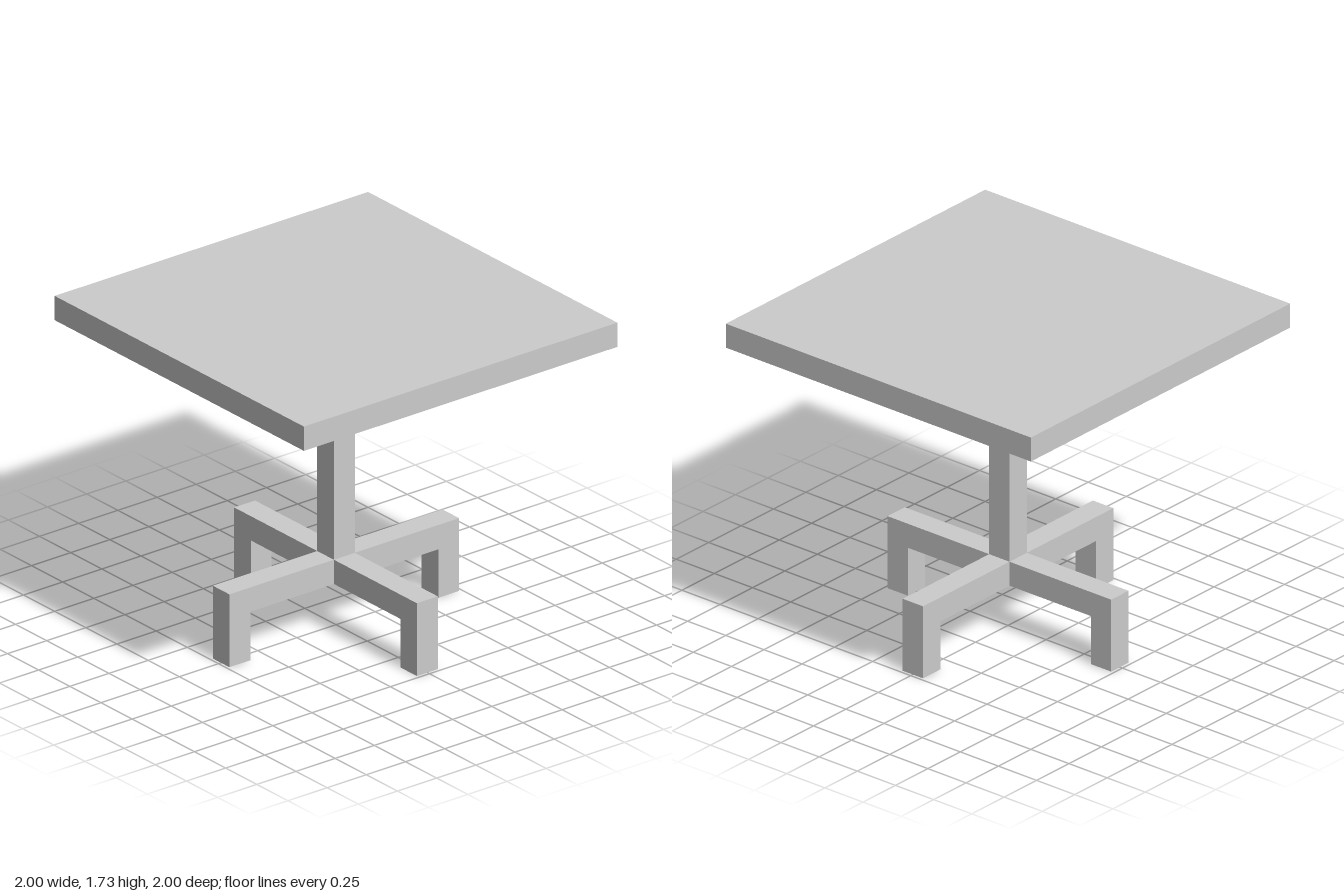
import * as THREE from 'three';

const T = 2 / 15; // common thickness of every beam and of the top

export function createModel() {
  const model = new THREE.Group();
  model.name = 'pedestalTable';
  const material = new THREE.MeshStandardMaterial({ color: 0xcccccc, flatShading: true });

  const add = (name, geometry, y = 0) => {
    const mesh = new THREE.Mesh(geometry, material);
    mesh.name = name;
    mesh.position.y = y;
    model.add(mesh);
    return mesh;
  };

  // Square top
  add('tableTop', new THREE.BoxGeometry(2, T, 2), 1.6 + T / 2);

  // Central column, from the underside of the feet's arms up to the top
  const columnHeight = 1.6 - 2 * T;
  add('column', new THREE.BoxGeometry(T, columnHeight, T), 2 * T + columnHeight / 2);

  // Four bent feet: an arm running out from the column, then a drop to the floor
  const profile = new THREE.Shape([
    [T / 2, 2 * T], [0.6, 2 * T], [0.6, 0], [0.6 + T, 0], [0.6 + T, 3 * T], [T / 2, 3 * T],
  ].map(([x, y]) => new THREE.Vector2(x, y)));
  const footGeometry = new THREE.ExtrudeGeometry(profile, { depth: T, bevelEnabled: false });
  footGeometry.translate(0, 0, -T / 2);

  ['leftFoot', 'backFoot', 'rightFoot', 'frontFoot'].forEach((name, i) => {
    add(name, footGeometry).rotation.y = i * Math.PI / 2;
  });

  return model;
}
